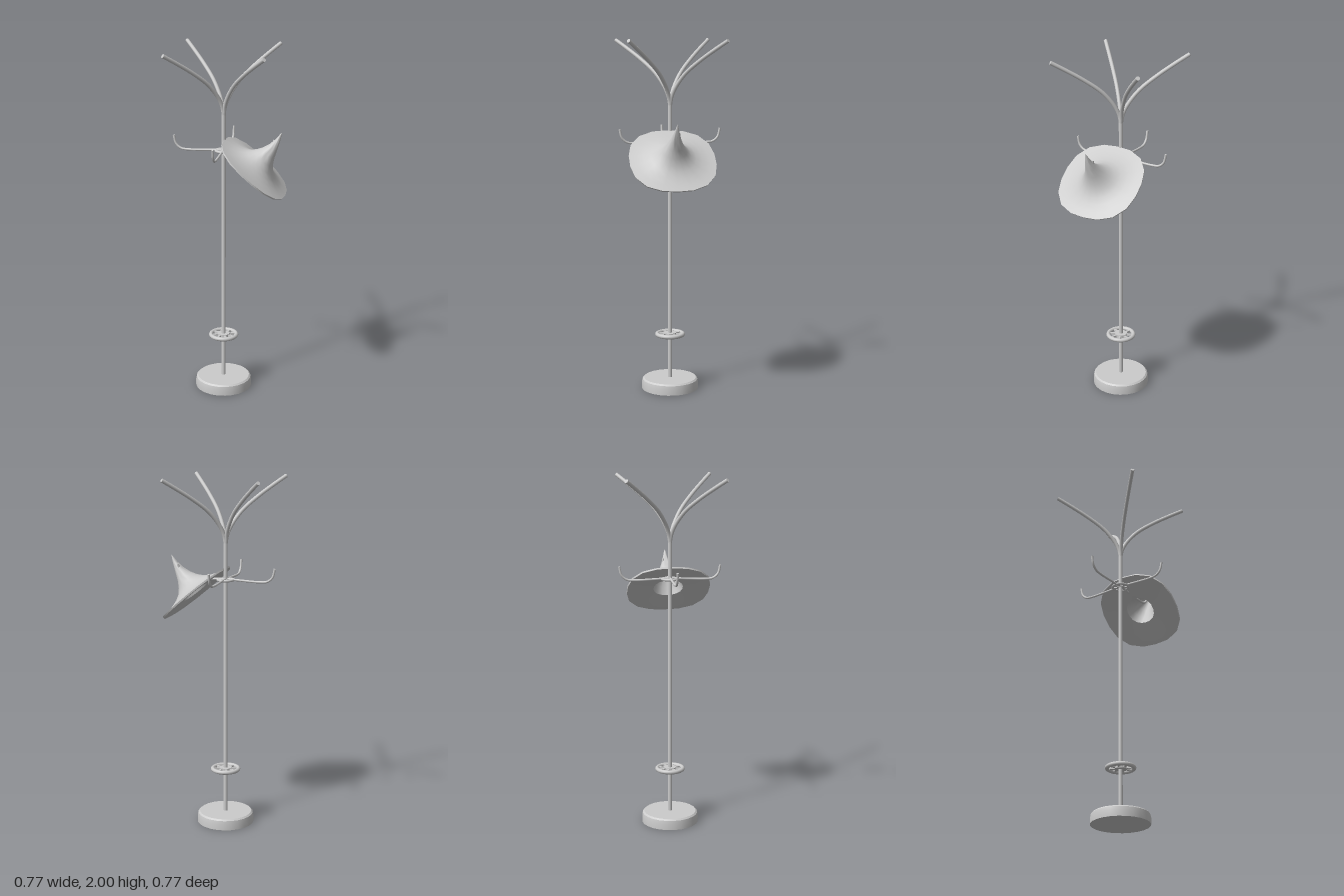
import * as THREE from 'three';
import { mergeVertices, toCreasedNormals } from 'three/addons/utils/BufferGeometryUtils.js';

const material = new THREE.MeshStandardMaterial({ color: 0xcccccc });
const doubleSided = new THREE.MeshStandardMaterial({ color: 0xcccccc, side: THREE.DoubleSide });
const vec2 = (points) => points.map(([x, y]) => new THREE.Vector2(x, y));

function part(name, geometry, parent, mat = material) {
  const mesh = new THREE.Mesh(geometry, mat);
  mesh.name = name;
  parent.add(mesh);
  return mesh;
}

function lathe(points, segments) {
  return toCreasedNormals(new THREE.LatheGeometry(vec2(points), segments), 0.6);
}

// Bent rod in the local xy plane, with flat end caps
function rod(name, points, radius, parent) {
  const group = new THREE.Group();
  group.name = name;
  const curve = new THREE.CatmullRomCurve3(points.map(([x, y]) => new THREE.Vector3(x, y, 0)));
  part(name + 'Bar', new THREE.TubeGeometry(curve, 20, radius, 10), group);
  for (const [t, sign] of [[0, -1], [1, 1]]) {
    const cap = part(name + 'End', new THREE.CircleGeometry(radius, 10), group);
    const p = curve.getPoint(t);
    cap.position.copy(p);
    cap.lookAt(p.clone().addScaledVector(curve.getTangent(t), sign));
  }
  parent.add(group);
  return group;
}

// Spoked ring around the pole
function wheel(name, y, radius, tube, hub, spokes, parent) {
  const group = new THREE.Group();
  group.name = name;
  group.position.y = y;
  const rim = part(name + 'Rim', new THREE.TorusGeometry(radius, tube, 10, 28), group);
  rim.rotation.x = Math.PI / 2;
  part(name + 'Hub', new THREE.CylinderGeometry(hub, hub, tube * 1.6, 20), group);
  for (let i = 0; i < spokes; i++) {
    const a = ((i + 0.5) / spokes) * Math.PI * 2;
    const spoke = part(name + 'Spoke', new THREE.BoxGeometry(radius - hub + 0.008, tube, tube), group);
    const mid = (radius + hub) / 2;
    spoke.position.set(Math.cos(a) * mid, 0, -Math.sin(a) * mid);
    spoke.rotation.y = a;
  }
  parent.add(group);
}

// Pointed hat: turned profile whose brim is widened to a soft, squarish oval
function hatGeometry() {
  const profile = [
    [0.085, 0.0], [0.16, -0.008], [0.238, -0.012], [0.24, -0.003], [0.2, 0.002], [0.16, 0.012],
    [0.125, 0.026], [0.095, 0.045], [0.068, 0.075], [0.046, 0.112], [0.029, 0.155],
    [0.015, 0.2], [0.006, 0.235], [0.0, 0.25],
  ];
  const inside = [[0.0, 0.19], [0.025, 0.135], [0.045, 0.09], [0.07, 0.045], [0.085, 0.0]];
  let geometry = new THREE.LatheGeometry(vec2([...inside, ...profile.slice(1)]), 18);
  geometry.deleteAttribute('uv');
  geometry.deleteAttribute('normal');
  const pos = geometry.attributes.position;
  const power = 2.5;
  for (let i = 0; i < pos.count; i++) {
    const x = pos.getX(i), y = pos.getY(i), z = pos.getZ(i);
    const r = Math.hypot(x, z);
    if (r < 1e-6) continue;
    const c = Math.abs(x / r), s = Math.abs(z / r);
    const square = Math.pow(c ** power + s ** power, -1 / power);
    const k = 1 + (square - 1) * Math.min(1, r / 0.2);
    pos.setXYZ(i, x * k, y, z * k * 0.95);
  }
  // The tip curls gently towards the high side of the brim
  for (let i = 0; i < pos.count; i++) {
    const y = Math.max(0, pos.getY(i) - 0.12);
    pos.setZ(i, pos.getZ(i) - 1.3 * y * y);
  }
  return toCreasedNormals(mergeVertices(geometry, 1e-5), 0.9);
}

export function createModel() {
  const model = new THREE.Group();
  model.name = 'coatStand';

  // Base and pole
  part('base', lathe([[0, 0], [0.163, 0], [0.163, 0.035], [0.159, 0.054], [0.15, 0.062], [0, 0.062]], 24), model);
  const pole = part('pole', new THREE.CylinderGeometry(0.012, 0.012, 1.6, 14), model);
  pole.position.y = 0.85;

  // Umbrella ring low down, and the small collar that carries the hooks
  wheel('umbrellaRing', 0.317, 0.074, 0.012, 0.036, 8, model);
  wheel('hookCollar', 1.425, 0.045, 0.007, 0.022, 8, model);

  // Four branches and four diagonal hooks
  for (let i = 0; i < 4; i++) {
    const branch = rod('branch', [
      [0, 1.62], [0.008, 1.67], [0.034, 1.725], [0.1, 1.805], [0.2, 1.88], [0.3, 1.942], [0.38, 1.988],
    ], 0.011, model);
    branch.rotation.y = (i * Math.PI) / 2;
    const hook = rod('hook', [
      [0.01, 1.43], [0.1, 1.425], [0.2, 1.422], [0.243, 1.427], [0.272, 1.452], [0.284, 1.5],
    ], 0.0065, model);
    hook.rotation.y = ((i + 0.5) * Math.PI) / 2;
  }

  // Hat hanging on the front hook
  const hat = part('hat', hatGeometry(), model, doubleSided);
  hat.position.set(0.117, 1.345, 0.14);
  hat.rotation.set(0.71, Math.PI / 4, 0, 'YXZ');

  return model;
}
